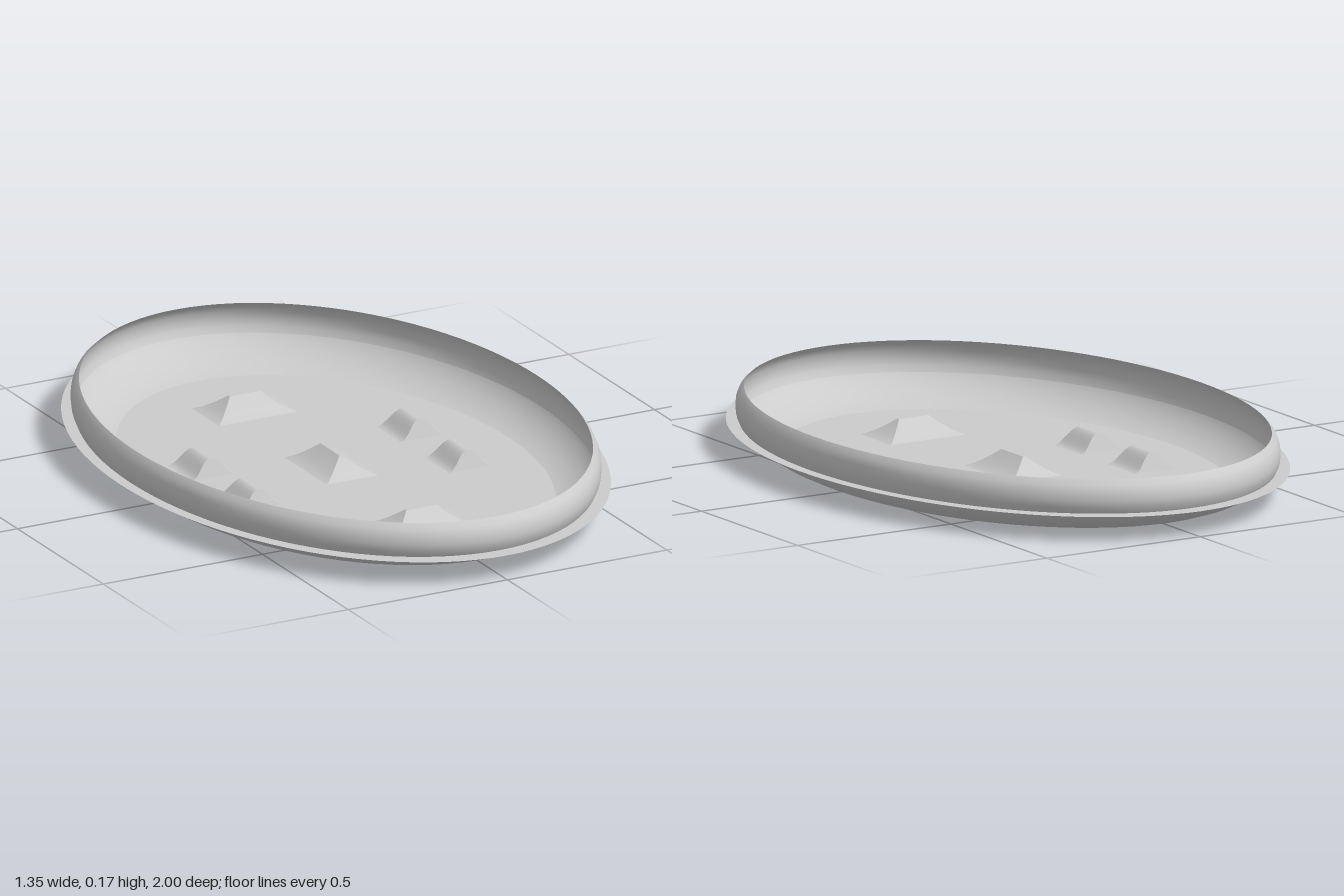
import * as THREE from 'three';

const ASPECT = 0.675; // width of the oval relative to its length

const material = new THREE.MeshStandardMaterial({ color: 0xcccccc, side: THREE.DoubleSide });

function addMesh(parent, name, geometry) {
  const mesh = new THREE.Mesh(geometry, material);
  mesh.name = name;
  parent.add(mesh);
  return mesh;
}

// Oval surface of revolution from [radius, height] pairs
function ovalLathe(profile) {
  const points = profile.map(([r, y]) => new THREE.Vector2(r, y));
  const geometry = new THREE.LatheGeometry(points, 96);
  geometry.scale(ASPECT, 1, 1);
  return geometry;
}

// Hipped ridge with slightly flared slopes: base half sizes bx, bz and ridge half sizes rx, rz
function hippedRidge(bx, bz, rx, rz, height) {
  const geometry = new THREE.BoxGeometry(2, 1, 2, 1, 6, 1);
  const p = geometry.attributes.position;
  for (let i = 0; i < p.count; i++) {
    const t = p.getY(i) + 0.5;
    p.setXYZ(
      i,
      p.getX(i) * THREE.MathUtils.lerp(bx, rx, t),
      height * Math.pow(t, 1.35),
      p.getZ(i) * THREE.MathUtils.lerp(bz, rz, t)
    );
  }
  geometry.computeVertexNormals();
  return geometry;
}

// Bell-shaped mound running along z, with sloping ends
function archedMound(halfWidth, halfLength, height) {
  const geometry = new THREE.BoxGeometry(2, 1, 2, 14, 1, 1);
  const p = geometry.attributes.position;
  for (let i = 0; i < p.count; i++) {
    const u = p.getX(i);
    const rise = (p.getY(i) + 0.5) * (Math.cos(Math.PI * u) + 1) / 2;
    p.setXYZ(i, u * halfWidth, rise * height, p.getZ(i) * (halfLength - 0.02 * rise));
  }
  geometry.computeVertexNormals();
  return geometry;
}

export function createModel() {
  const model = new THREE.Group();
  model.name = 'ovalDish';

  // Thin shell of the dish
  addMesh(model, 'floor', ovalLathe([[0, 0], [0.8, 0]]));
  addMesh(model, 'lowerWall', ovalLathe([
    [0.8, 0], [0.83, 0.006], [0.87, 0.019], [0.91, 0.037], [0.94, 0.058], [0.953, 0.072],
  ]));
  addMesh(model, 'upperWall', ovalLathe([
    [0.953, 0.072], [0.963, 0.09], [0.966, 0.11], [0.963, 0.132], [0.953, 0.151], [0.935, 0.166],
  ]));

  // Flat flange around the outside
  addMesh(model, 'flange', ovalLathe([[1, 0.072], [0.953, 0.072]]));

  // Hipped ridges down the middle of the floor
  const endRidge = hippedRidge(0.122, 0.081, 0.048, 0.005, 0.05);
  addMesh(model, 'backRidge', endRidge).position.z = -0.535;
  addMesh(model, 'frontRidge', endRidge).position.z = 0.495;
  addMesh(model, 'centreRidge', hippedRidge(0.081, 0.125, 0.004, 0.056, 0.05)).position.z = -0.028;

  // Two arched mounds on each side
  const mound = archedMound(0.068, 0.07, 0.05);
  for (const [side, x] of [['left', 0.328], ['right', -0.328]]) {
    for (const [end, z] of [['Back', -0.175], ['Front', 0.105]]) {
      addMesh(model, `${side}${end}Mound`, mound).position.set(x, 0, z);
    }
  }

  return model;
}
